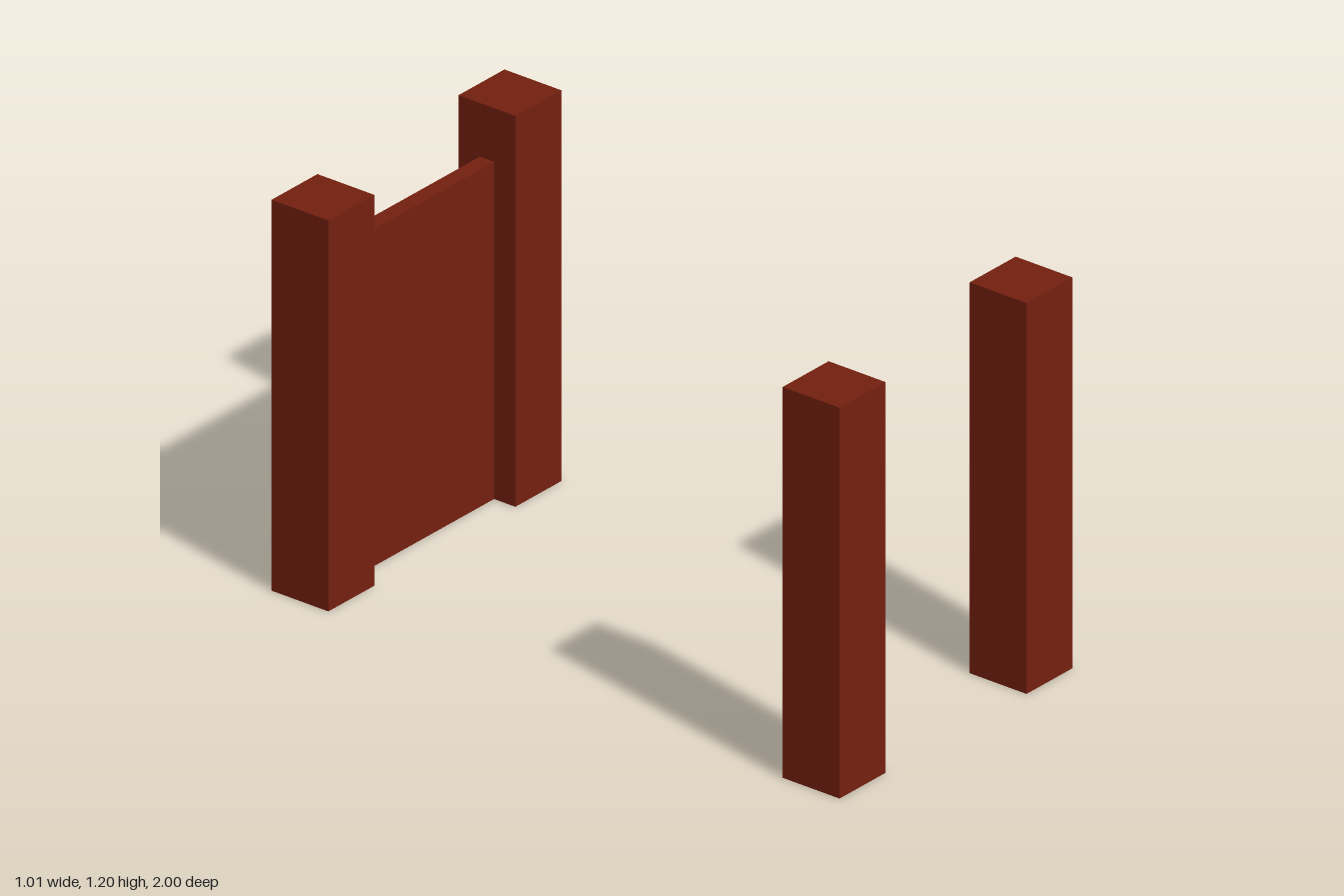
import * as THREE from 'three';

export function createModel() {
  const group = new THREE.Group();
  const material = new THREE.MeshStandardMaterial({ color: 0x74200f });

  const addBox = (name, w, h, d, x, z) => {
    const mesh = new THREE.Mesh(new THREE.BoxGeometry(w, h, d), material);
    mesh.name = name;
    mesh.position.set(x, h / 2, z);
    group.add(mesh);
  };

  // Four square corner posts
  for (const [side, x] of [['Left', 0.407], ['Right', -0.407]]) {
    for (const [end, z] of [['front', 0.9], ['back', -0.9]]) {
      addBox(`${end}${side}Post`, 0.2, 1.2, 0.2, x, z);
    }
  }

  // Thin panel between the back posts
  addBox('backPanel', 0.614, 1.035, 0.05, 0, -0.9);

  return group;
}
